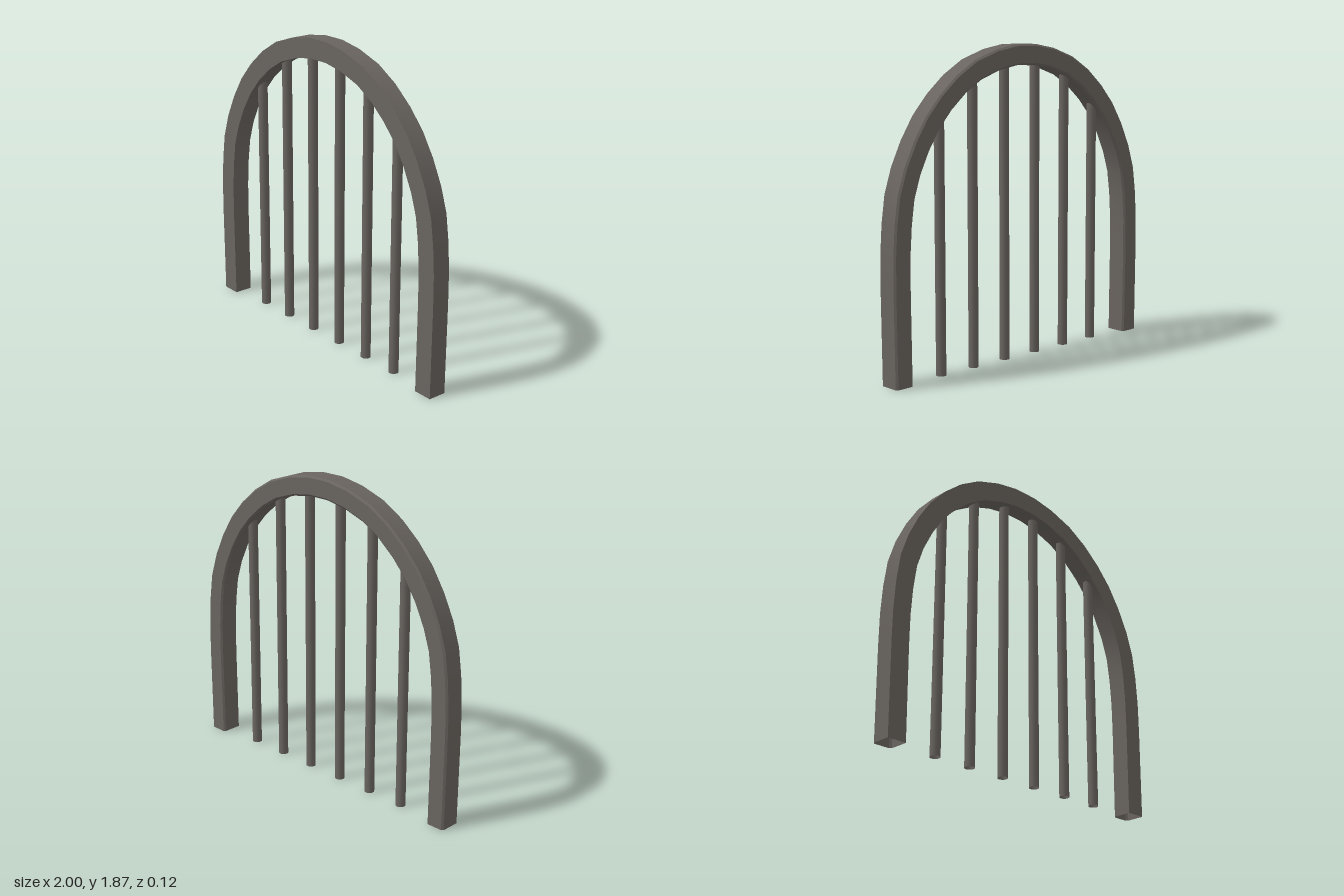
import * as THREE from 'three';

const HALF_DEPTH = 0.062, WIDTH = 0.12, BEVEL = 0.011;

// Outer edge of the arch, from the +x foot up to the crown
const HALF_ARCH = [
  [0.995, 0], [1, 0.55], [0.998, 0.74], [0.986, 0.91], [0.963, 1.07], [0.915, 1.215], [0.845, 1.357],
  [0.76, 1.488], [0.656, 1.602], [0.535, 1.703], [0.396, 1.785], [0.232, 1.84], [0.08, 1.866],
];

// Frame section as [inset from the outer edge, z]; the back edges are bevelled
const SECTION = [
  [0, HALF_DEPTH], [0, -HALF_DEPTH + BEVEL], [BEVEL, -HALF_DEPTH],
  [WIDTH - BEVEL, -HALF_DEPTH], [WIDTH, -HALF_DEPTH + BEVEL], [WIDTH, HALF_DEPTH],
];

function archPath() {
  const right = HALF_ARCH.map(([x, y]) => new THREE.Vector2(x, y));
  const left = HALF_ARCH.map(([x, y]) => new THREE.Vector2(-x, y)).reverse();
  return [...right, ...left];
}

// Mitred inward direction at each path point
function inwardMiters(path) {
  const normal = (a, b) => new THREE.Vector2(a.y - b.y, b.x - a.x).normalize();
  return path.map((p, i) => {
    if (i === 0) return new THREE.Vector2(-1, 0);
    if (i === path.length - 1) return new THREE.Vector2(1, 0);
    const before = normal(path[i - 1], p), after = normal(p, path[i + 1]);
    const miter = before.clone().add(after).normalize();
    return miter.divideScalar(miter.dot(after));
  });
}

// One long face of the frame, smooth along the arch and sharp at its edges
function frameFace(path, miters, from, to) {
  const positions = [], indices = [];
  path.forEach((p, i) => {
    for (const [inset, z] of [from, to]) {
      positions.push(p.x + miters[i].x * inset, p.y + miters[i].y * inset, z);
    }
    if (i > 0) {
      const a = 2 * (i - 1);
      indices.push(a, a + 1, a + 2, a + 1, a + 3, a + 2);
    }
  });
  const geometry = new THREE.BufferGeometry();
  geometry.setAttribute('position', new THREE.Float32BufferAttribute(positions, 3));
  geometry.setIndex(indices);
  geometry.computeVertexNormals();
  return geometry;
}

// Height of the underside of the arch above a given x
function undersideAt(path, miters, x) {
  const inner = path.map((p, i) => p.clone().addScaledVector(miters[i], WIDTH));
  for (let i = 1; i < inner.length; i++) {
    const a = inner[i - 1], b = inner[i];
    if (a.y > 0.9 && x <= a.x && x >= b.x) return a.y + (b.y - a.y) * (x - a.x) / (b.x - a.x);
  }
  return 1.74;
}

export function createModel() {
  const model = new THREE.Group();
  model.name = 'archedGrate';
  const iron = new THREE.MeshStandardMaterial({ color: 0x69645f, side: THREE.DoubleSide });
  iron.name = 'darkIron';

  const path = archPath(), miters = inwardMiters(path);

  // Hollow arched frame, open at the feet
  const frame = new THREE.Group();
  frame.name = 'archFrame';
  const faceNames = ['outerFace', 'outerBevel', 'backFace', 'innerBevel', 'innerFace', 'frontFace'];
  SECTION.forEach((from, i) => {
    const face = new THREE.Mesh(frameFace(path, miters, from, SECTION[(i + 1) % SECTION.length]), iron);
    face.name = faceNames[i];
    frame.add(face);
  });
  model.add(frame);

  // Six upright round bars running up into the arch
  const bars = new THREE.Group();
  bars.name = 'bars';
  for (let i = 0; i < 6; i++) {
    const x = (i - 2.5) * 0.249;
    const height = undersideAt(path, miters, x) + 0.03;
    const bar = new THREE.Mesh(new THREE.CylinderGeometry(0.03, 0.03, height, 12, 1, true), iron);
    bar.name = 'bar';
    bar.position.set(x, height / 2, 0);
    bars.add(bar);
  }
  model.add(bars);
  return model;
}
